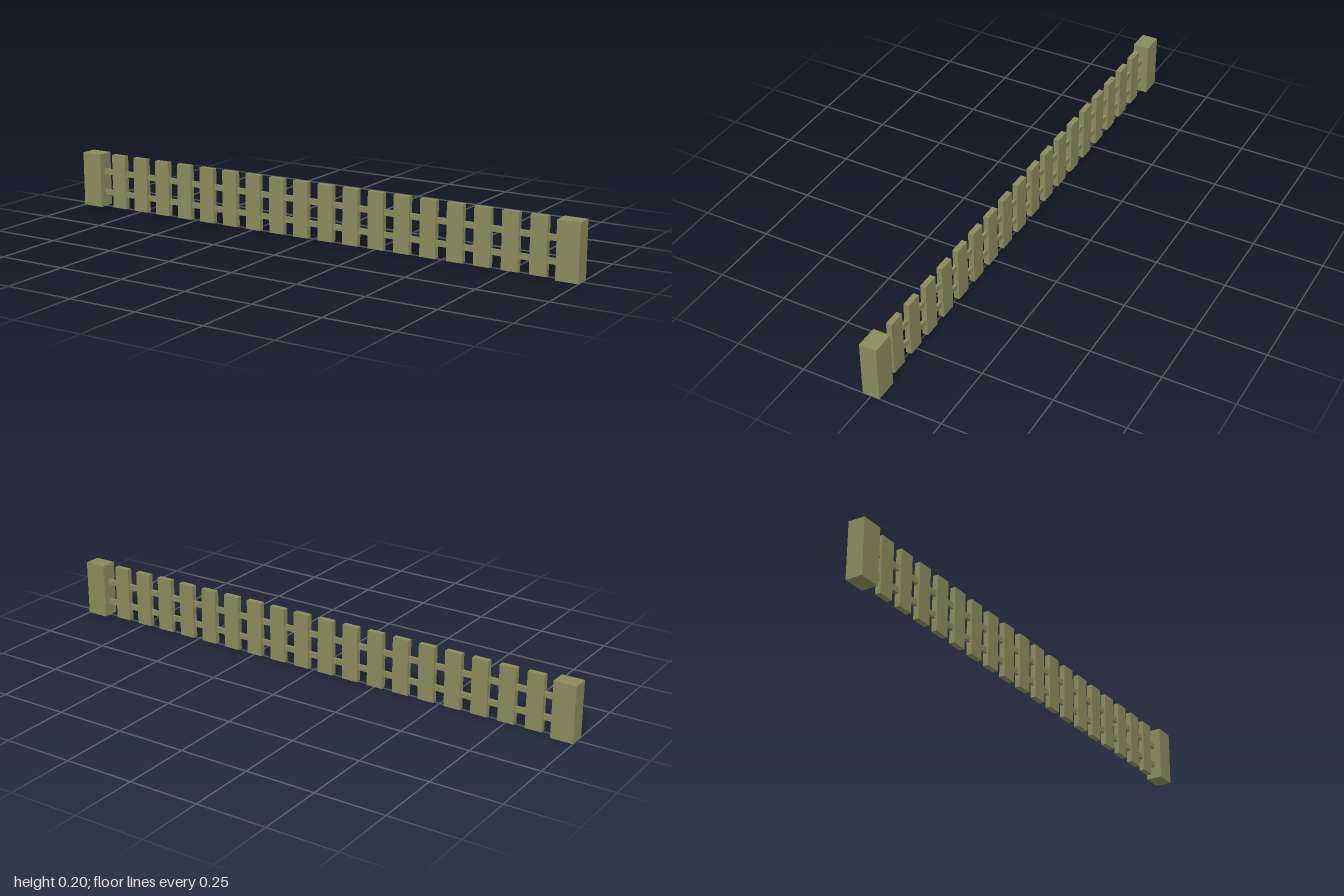
import * as THREE from 'three';

export function createModel() {
  const group = new THREE.Group();
  const wood = new THREE.MeshStandardMaterial({ color: 0x8a8a5c });
  wood.name = 'olive wood';

  const box = (name, w, h, d, x, y) => {
    const mesh = new THREE.Mesh(new THREE.BoxGeometry(w, h, d), wood);
    mesh.name = name;
    mesh.position.set(x, y, 0);
    group.add(mesh);
  };

  // End posts
  box('leftPost', 0.08, 0.2, 0.06, 0.96, 0.1);
  box('rightPost', 0.08, 0.2, 0.06, -0.96, 0.1);

  // Horizontal rails running through the slats
  box('upperRail', 1.86, 0.02, 0.01, 0, 0.132);
  box('lowerRail', 1.86, 0.02, 0.01, 0, 0.054);

  // Evenly spaced upright slats
  for (let i = 0; i < 18; i++) {
    box('slat' + (i + 1), 0.06, 0.2, 0.02, -0.85 + i * 0.1, 0.1);
  }
  return group;
}
